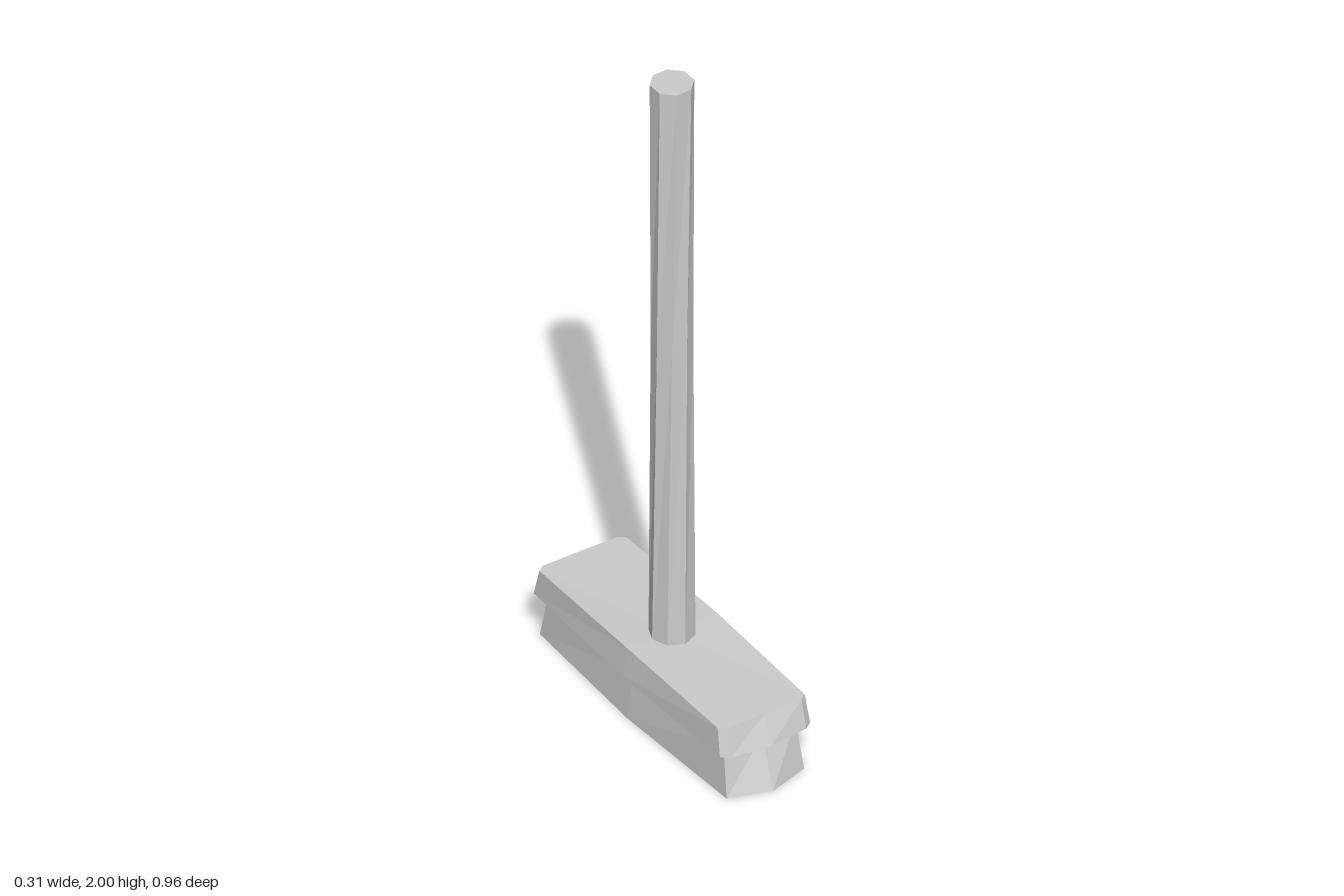
import * as THREE from 'three';

const X0 = -0.004; // slight sideways offset of the whole broom

// Skin a stack of equally long rings (bottom to top) and close both ends.
function loft(name, rings) {
  const pos = [];
  const tri = (...pts) => pts.forEach((p) => pos.push(p.x, p.y, p.z));
  const centre = (ring) =>
    ring.reduce((s, p) => s.add(p), new THREE.Vector3()).divideScalar(ring.length);
  const n = rings[0].length;
  const bottom = rings[0], top = rings[rings.length - 1];
  const cb = centre(bottom), ct = centre(top);
  for (let i = 0; i < n; i++) {
    const j = (i + 1) % n;
    for (let k = 0; k < rings.length - 1; k++) {
      const lo = rings[k], hi = rings[k + 1];
      tri(lo[i], hi[i], lo[j]);
      tri(lo[j], hi[i], hi[j]);
    }
    tri(cb, bottom[i], bottom[j]);
    tri(ct, top[j], top[i]);
  }
  const geo = new THREE.BufferGeometry();
  geo.setAttribute('position', new THREE.Float32BufferAttribute(pos, 3));
  geo.computeVertexNormals();
  const mesh = new THREE.Mesh(
    geo, new THREE.MeshStandardMaterial({ color: 0xcccccc, flatShading: true }));
  mesh.name = name;
  return mesh;
}

// Mirror one quarter outline, running from the side middle to the end tip, into a full ring.
function outline(y, quarter, rise = 0) {
  const half = [...quarter, ...quarter.slice(0, -1).reverse().map(([x, z]) => [-x, z])];
  const full = [...half, ...half.slice(1, -1).reverse().map(([x, z]) => [x, -z])];
  return full.map(([x, z]) => new THREE.Vector3(x + X0, y + (z === 0 ? rise : 0), z));
}

function circle(y, radius, turn, sides = 8) {
  return Array.from({ length: sides }, (_, i) => {
    const a = turn + (i / sides) * Math.PI * 2;
    return new THREE.Vector3(X0 + radius * Math.cos(a), y, radius * Math.sin(a));
  });
}

export function createModel() {
  const group = new THREE.Group();
  group.name = 'broom';

  // Bristles flare towards the floor and have pointed ends
  group.add(loft('bristles', [
    outline(0, [[0.14, 0], [0.122, 0.443], [0, 0.482]]),
    outline(0.145, [[0.121, 0], [0.113, 0.415], [0, 0.427]]),
  ]));

  // Head block: bowed sides, chamfered corners, narrower on top
  group.add(loft('headBlock', [
    outline(0.14, [[0.154, 0], [0.142, 0.442], [0.118, 0.459], [0, 0.472]]),
    outline(0.222, [[0.142, 0], [0.137, 0.423], [0.118, 0.437], [0, 0.438]], 0.007),
  ]));

  // Handle: octagonal, slimmer at the middle and gently twisted
  group.add(loft('handle', [
    circle(0.2, 0.063, 0),
    circle(1.17, 0.056, -0.2),
    circle(2, 0.06, -0.42),
  ]));

  return group;
}
